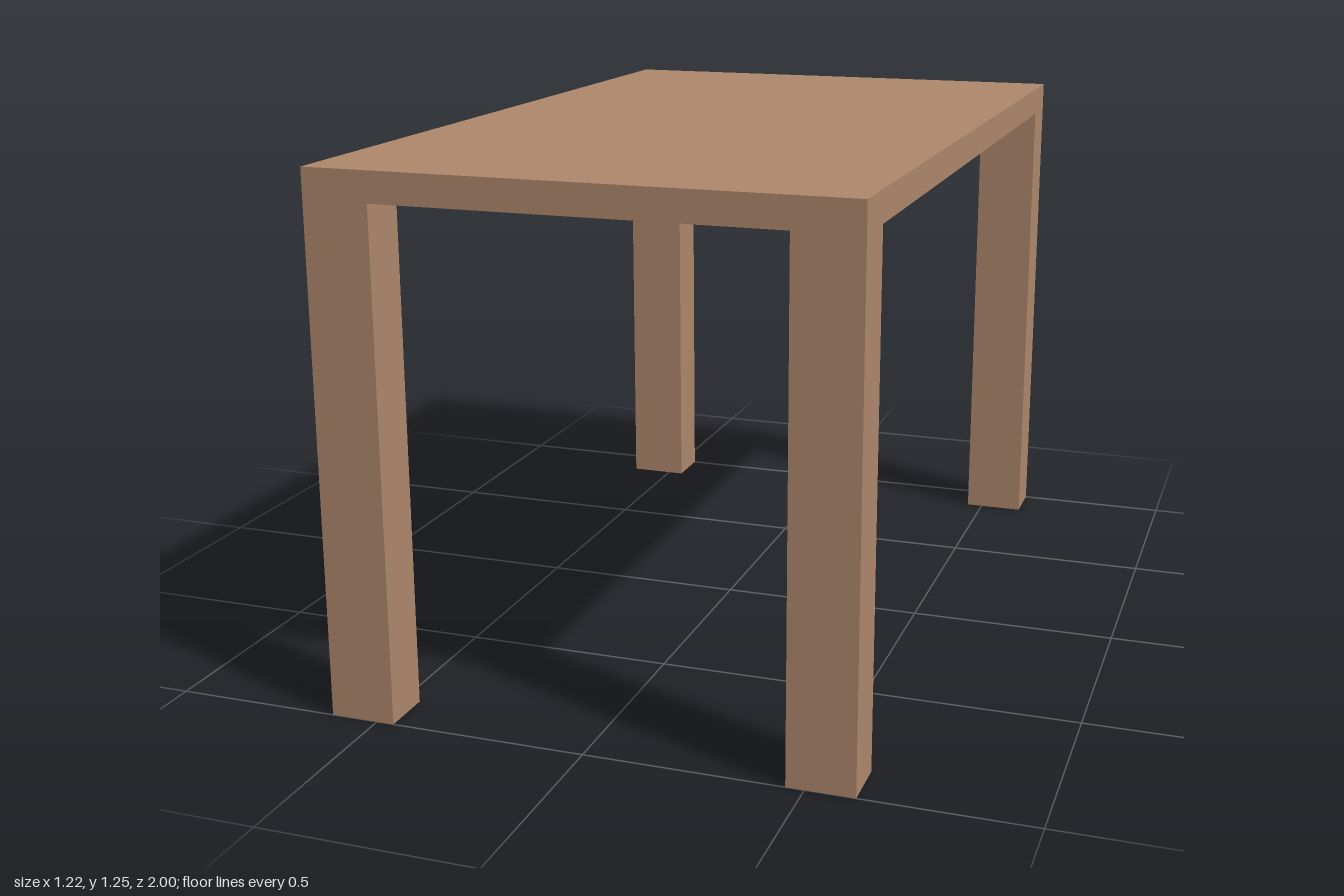
import * as THREE from 'three';

const WIDTH = 1.223, DEPTH = 2, HEIGHT = 1.25;
const TOP = 0.07, LEG_X = 0.153, LEG_Z = 0.125;

export function createModel() {
  const table = new THREE.Group();
  table.name = 'table';
  const wood = new THREE.MeshStandardMaterial({ color: 0xae886c });
  wood.name = 'wood';

  const addBox = (name, w, h, d, x, y, z) => {
    const mesh = new THREE.Mesh(new THREE.BoxGeometry(w, h, d), wood);
    mesh.name = name;
    mesh.position.set(x, y, z);
    table.add(mesh);
  };

  // Slab top
  addBox('tabletop', WIDTH, TOP, DEPTH, 0, HEIGHT - TOP / 2, 0);

  // Four corner legs, flush with the edges of the top
  const legHeight = HEIGHT - TOP;
  for (const [zName, sz] of [['front', 1], ['back', -1]]) {
    for (const [xName, sx] of [['Left', 1], ['Right', -1]]) {
      addBox(`${zName}${xName}Leg`, LEG_X, legHeight, LEG_Z,
        sx * (WIDTH - LEG_X) / 2, legHeight / 2, sz * (DEPTH - LEG_Z) / 2);
    }
  }
  return table;
}
